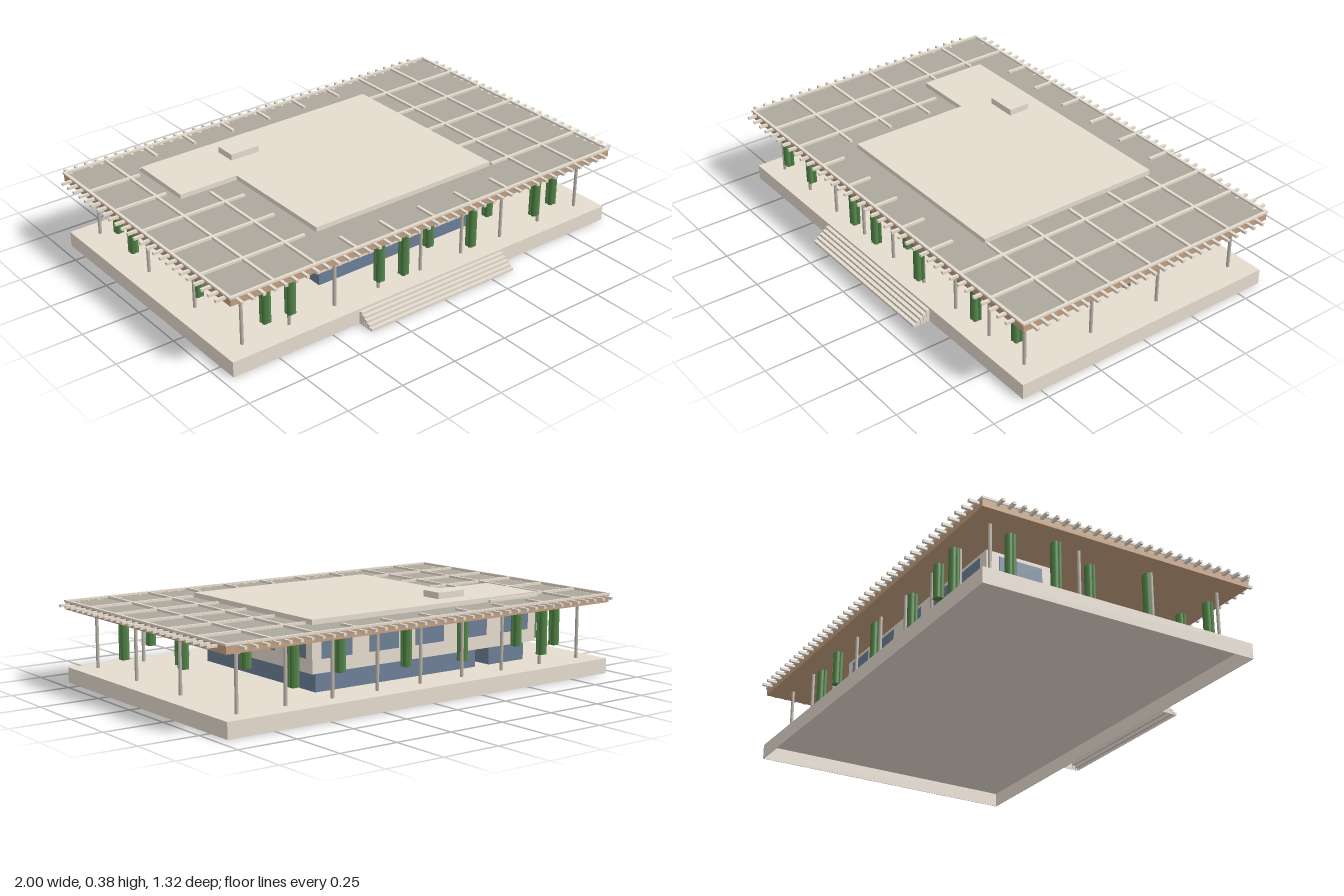
import * as THREE from 'three';

const mat = (name, color) => {
  const m = new THREE.MeshStandardMaterial({ color });
  m.name = name;
  return m;
};

export function createModel() {
  const root = new THREE.Group();
  root.name = 'pavilion';
  const M = {
    stone: mat('pale stone', 0xe6dcd0),
    roof: mat('roof panel', 0xaca89c),
    wood: mat('timber', 0xc6a180),
    glass: mat('blue glass', 0x6d8097),
    post: mat('post grey', 0xbdb6ac),
    leaf: mat('leaf green', 0x588c4c),
    leafDark: mat('dark leaf green', 0x4a7a41),
  };
  const group = (name) => {
    const g = new THREE.Group();
    g.name = name;
    root.add(g);
    return g;
  };
  // Box given by its limits on each axis
  const box = (parent, name, m, x0, x1, y0, y1, z0, z1) => {
    const mesh = new THREE.Mesh(new THREE.BoxGeometry(x1 - x0, y1 - y0, z1 - z0), m);
    mesh.position.set((x0 + x1) / 2, (y0 + y1) / 2, (z0 + z1) / 2);
    mesh.name = name;
    parent.add(mesh);
  };
  // Four thin walls around a rectangle
  const frame = (parent, name, m, x0, x1, y0, y1, z0, z1, t) => {
    box(parent, name, m, x0, x1, y0, y1, z0, z0 + t);
    box(parent, name, m, x0, x1, y0, y1, z1 - t, z1);
    box(parent, name, m, x0, x0 + t, y0, y1, z0 + t, z1 - t);
    box(parent, name, m, x1 - t, x1, y0, y1, z0 + t, z1 - t);
  };

  // Hollow plinth, open below, with thin entrance steps
  const plinth = group('plinth');
  box(plinth, 'deck', M.stone, -0.955, 0.955, 0.062, 0.065, -0.615, 0.585);
  frame(plinth, 'plinthWall', M.stone, -0.955, 0.955, 0, 0.062, -0.615, 0.585, 0.003);
  const steps = group('steps');
  for (let i = 0; i < 5; i++) {
    const y = (i + 1) * 0.011, z = 0.66 - i * 0.015;
    box(steps, 'tread', M.stone, -0.37, 0.365, y - 0.002, y, z - 0.015, z);
    box(steps, 'riser', M.stone, -0.37, 0.365, y - 0.011, y - 0.002, z - 0.002, z);
    for (const x of [-0.37, 0.363]) box(steps, 'stepSide', M.stone, x, x + 0.002, 0, y - 0.002, z - 0.015, z - 0.002);
  }

  // Recessed glass ground floor
  box(root, 'groundGlassMain', M.glass, -0.39, 0.425, 0.065, 0.145, -0.415, 0.353);
  box(root, 'groundGlassWing', M.glass, -0.66, -0.465, 0.065, 0.145, -0.415, -0.185);

  // L-shaped upper storey
  const plan = [[-0.695, 0.447], [0.463, 0.447], [0.463, -0.389], [-0.427, -0.389], [-0.427, 0.147], [-0.695, 0.147]];
  const shape = new THREE.Shape(plan.map(([x, y]) => new THREE.Vector2(x, y)));
  const storeyGeo = new THREE.ExtrudeGeometry(shape, { depth: 0.21, bevelEnabled: false });
  storeyGeo.rotateX(-Math.PI / 2);
  const storey = new THREE.Mesh(storeyGeo, M.stone);
  storey.position.y = 0.145;
  storey.name = 'upperStorey';
  root.add(storey);
  box(root, 'roofHatch', M.stone, -0.37, -0.233, 0.355, 0.382, -0.363, -0.268);

  // Evenly spaced windows along each upper wall
  const windows = group('windows');
  const windowRow = (axis, at, from, to, count) => {
    const pitch = (to - from) / count, half = pitch * 0.315;
    for (let i = 0; i < count; i++) {
      const c = from + pitch * (i + 0.5);
      if (axis === 'x') box(windows, 'window', M.glass, c - half, c + half, 0.2, 0.291, at - 0.002, at + 0.002);
      else box(windows, 'window', M.glass, at - 0.002, at + 0.002, 0.2, 0.291, c - half, c + half);
    }
  };
  windowRow('x', 0.389, -0.427, 0.463, 4);
  windowRow('x', -0.147, -0.695, -0.427, 1);
  windowRow('x', -0.447, -0.695, 0.463, 5);
  windowRow('z', 0.463, -0.447, 0.389, 4);
  windowRow('z', -0.427, -0.147, 0.389, 2);
  windowRow('z', -0.695, -0.447, -0.147, 1);

  // Canopy: timber slab and fascia with grey roof sheet
  box(root, 'canopySlab', M.wood, -0.954, 0.954, 0.306, 0.331, -0.614, 0.584);
  box(root, 'roofSheet', M.roof, -0.954, 0.954, 0.331, 0.335, -0.614, 0.584);
  frame(group('fascia'), 'fasciaBoard', M.wood, -0.957, 0.957, 0.306, 0.337, -0.617, 0.587, 0.004);

  // Raised ribs on the roof
  const ribs = group('roofRibs');
  const ribX = (z, x0, x1) => box(ribs, 'rib', M.stone, x0, x1, 0.334, 0.345, z - 0.006, z + 0.006);
  const ribZ = (x, z0, z1) => box(ribs, 'rib', M.stone, x - 0.006, x + 0.006, 0.334, 0.345, z0, z1);
  frame(ribs, 'rimRib', M.stone, -0.961, 0.961, 0.337, 0.3455, -0.621, 0.591, 0.012);
  for (const x of [-0.765, 0.57, 0.76]) ribZ(x, -0.612, 0.582);
  [-0.415, -0.215, -0.015, 0.185, 0.385].forEach((z, i) => {
    ribX(z, -0.95, i < 2 ? -0.72 : -0.48);
    ribX(z, 0.475, 0.95);
  });
  ribX(-0.452, -0.695, -0.43);
  for (const x of [-0.575, -0.385, -0.19, 0, 0.19, 0.38]) {
    ribZ(x, -0.612, -0.52);
    ribZ(x, x < -0.5 ? -0.115 : 0.48, 0.582);
  }

  // Rafter ends poking out on all sides
  const rafters = group('rafterEnds');
  for (let i = 0; i < 39; i++) {
    const x = -0.93 + i * 0.0482;
    box(rafters, 'rafterEnd', M.stone, x - 0.006, x + 0.006, 0.324, 0.335, 0.57, 0.625);
    box(rafters, 'rafterEnd', M.stone, x - 0.006, x + 0.006, 0.324, 0.335, -0.66, -0.6);
  }
  for (let i = 0; i < 25; i++) {
    const z = -0.555 + i * 0.0462;
    for (const x of [-1, 0.94]) {
      box(rafters, 'rafterEnd', M.stone, x, x + 0.06, 0.324, 0.335, z - 0.006, z + 0.006);
    }
  }

  // Slim round posts around the terrace
  const posts = group('posts');
  const postGeo = new THREE.CylinderGeometry(0.007, 0.007, 0.243, 12);
  const post = (x, z) => {
    const p = new THREE.Mesh(postGeo, M.post);
    p.position.set(x, 0.1855, z);
    p.name = 'post';
    posts.add(p);
  };
  for (let i = 0; i < 9; i++) for (const z of [0.505, -0.53]) post(-0.86 + i * 0.215, z);
  for (const x of [-0.86, 0.86]) for (const z of [0.187, -0.145]) post(x, z);

  // Hanging plants: x, z and lowest height
  const plants = group('hangingPlants');
  const spots = [
    [-0.77, 0.53, 0.14], [-0.635, 0.5, 0.11], [-0.235, 0.535, 0.12], [-0.1, 0.52, 0.093],
    [0.065, 0.475, 0.14], [0.235, 0.54, 0.11], [0.395, 0.46, 0.16], [0.595, 0.53, 0.125], [0.76, 0.463, 0.094],
    [0.595, -0.51, 0.125], [0.395, -0.53, 0.16], [0.065, -0.52, 0.14], [-0.235, -0.51, 0.125],
    [-0.5, -0.54, 0.16], [-0.635, -0.55, 0.11], [-0.84, 0.185, 0.11], [-0.785, -0.045, 0.14],
    [-0.865, -0.25, 0.11], [-0.83, -0.425, 0.11], [0.66, 0.185, 0.105], [0.785, -0.045, 0.14], [0.63, -0.245, 0.157],
  ];
  for (const [x, z, low] of spots) {
    const clump = new THREE.Group();
    clump.name = 'hangingPlant';
    const strandGeo = new THREE.CylinderGeometry(0.011, 0.011, 0.307 - low, 8);
    for (const dx of [-1, 1]) for (const dz of [-1, 1]) {
      const strand = new THREE.Mesh(strandGeo, dx === dz ? M.leaf : M.leafDark);
      strand.position.set(x + dx * 0.008, (0.307 + low) / 2, z + dz * 0.008);
      strand.name = 'strand';
      clump.add(strand);
    }
    plants.add(clump);
  }

  return root;
}
